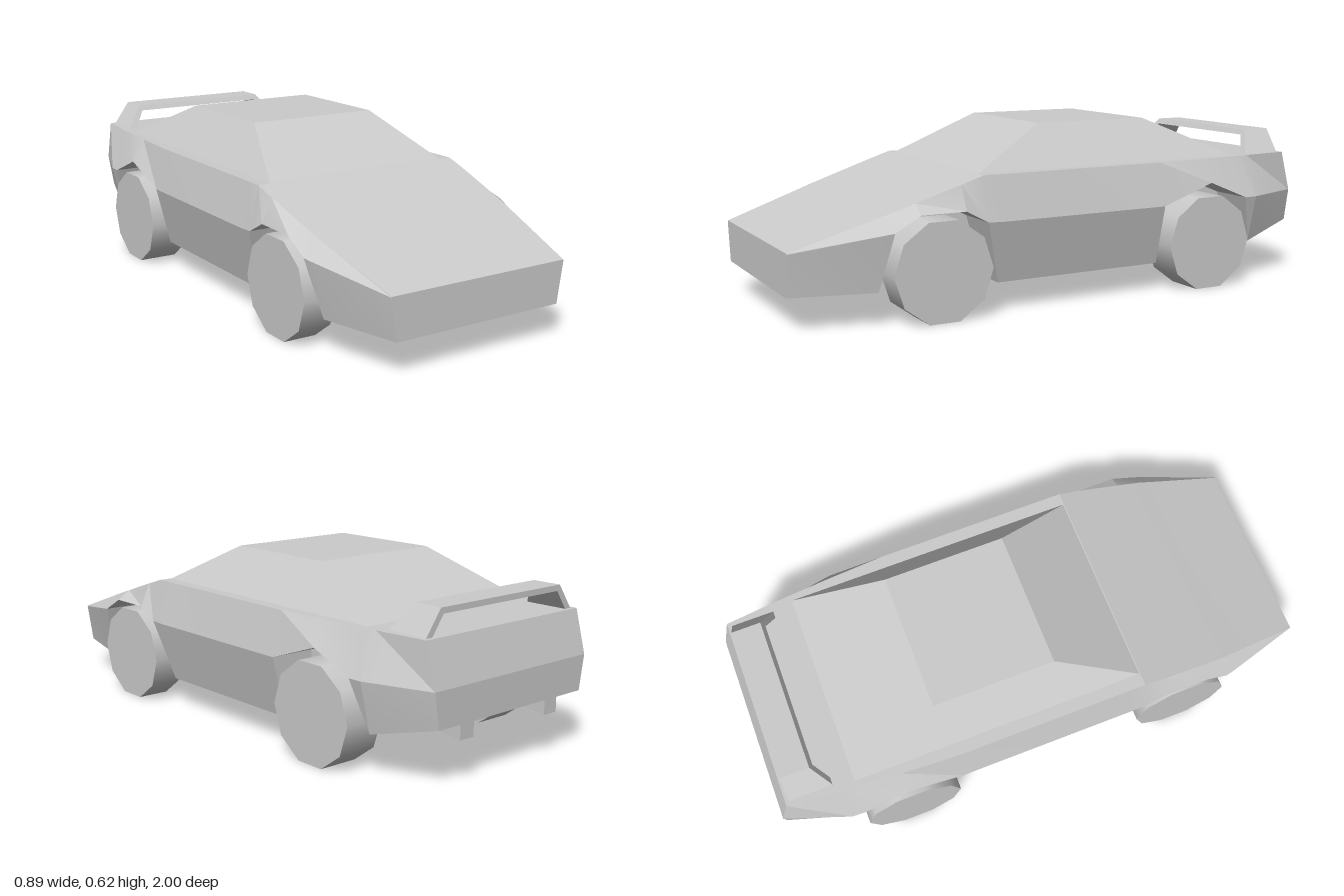
import * as THREE from 'three';
import { toCreasedNormals } from 'three/addons/utils/BufferGeometryUtils.js';

const material = new THREE.MeshStandardMaterial({ color: 0xcccccc });

function add(parent, name, geometry) {
  const mesh = new THREE.Mesh(geometry, material);
  mesh.name = name;
  parent.add(mesh);
  return mesh;
}

const faceted = (geometry) => {
  const flat = geometry.index ? geometry.toNonIndexed() : geometry;
  flat.computeVertexNormals();
  return flat;
};

// Body: cross-sections from nose to tail; the lower edge rises over the wheels
const POCKET_X = 0.27;
const sections = [
  // z, top y, top x, belt y, belt x, lower y, lower x, floor y, top z offset
  [1.0, 0.26, 0.34, 0.257, 0.341, 0.115, 0.32, 0.115, 0],
  [0.72, 0.35, 0.378, 0.304, 0.428, 0.115, 0.39, 0.115, 0],
  [0.68, 0.363, 0.384, 0.31, 0.438, 0.31, 0.438, 0.114, 0],
  [0.59, 0.392, 0.39, 0.36, 0.438, 0.36, 0.438, 0.111, 0],
  [0.43, 0.443, 0.4, 0.36, 0.438, 0.36, 0.438, 0.105, 0],
  [0.35, 0.468, 0.402, 0.317, 0.438, 0.317, 0.438, 0.102, 0],
  [0.29, 0.468, 0.402, 0.315, 0.438, 0.1, 0.385, 0.1, 0],
  [-0.355, 0.468, 0.402, 0.315, 0.438, 0.1, 0.385, 0.1, 0],
  [-0.355, 0.468, 0.402, 0.315, 0.438, 0.315, 0.438, 0.1, 0],
  [-0.56, 0.468, 0.39, 0.385, 0.438, 0.385, 0.438, 0.122, 0],
  [-0.72, 0.468, 0.378, 0.32, 0.438, 0.32, 0.438, 0.14, 0],
  [-0.77, 0.468, 0.374, 0.32, 0.436, 0.145, 0.395, 0.145, 0],
  [-1.0, 0.468, 0.355, 0.32, 0.355, 0.2, 0.335, 0.2, 0.04],
];

function bodyGeometry() {
  const rings = sections.map(([z, yt, xt, yb, xb, yl, xl, yf, dz]) => {
    const half = [[xt, yt, z + dz], [xb, yb, z], [xl, yl, z], [POCKET_X, yl, z], [POCKET_X, yf, z]]
      .map((p) => new THREE.Vector3(...p));
    const mirrored = half.map((p) => new THREE.Vector3(-p.x, p.y, p.z)).reverse();
    return [...half, ...mirrored];
  });
  const points = [];
  const tri = (a, b, c) => {
    if (new THREE.Triangle(a, b, c).getArea() > 1e-7) points.push(a, b, c);
  };
  const quad = (a, b, c, d) => { tri(a, b, c); tri(a, c, d); };

  for (let s = 0; s < rings.length - 1; s++) {
    const r = rings[s], q = rings[s + 1];
    for (let i = 0; i < 10; i++) {
      const j = (i + 1) % 10;
      quad(r[i], r[j], q[j], q[i]);
    }
  }
  // Nose and tail panels
  const nose = rings[0], tail = rings[rings.length - 1];
  for (let i = 0; i < 4; i++) {
    quad(nose[i], nose[9 - i], nose[8 - i], nose[i + 1]);
    quad(tail[i], tail[i + 1], tail[8 - i], tail[9 - i]);
  }
  return toCreasedNormals(new THREE.BufferGeometry().setFromPoints(points), 0.25);
}

// Cabin: a box whose top is drawn in to the roof outline
function cabinGeometry() {
  const geometry = new THREE.BoxGeometry(1, 1, 1);
  const pos = geometry.attributes.position;
  for (let i = 0; i < pos.count; i++) {
    const roof = pos.getY(i) > 0, front = pos.getZ(i) > 0;
    const x = roof ? 0.248 : 0.358;
    const z = roof ? (front ? 0.06 : -0.38) : (front ? 0.35 : -0.72);
    pos.setXYZ(i, Math.sign(pos.getX(i)) * x, roof ? 0.615 : 0.466, z);
  }
  return faceted(geometry);
}

// Spoiler: a thin trapezoid hoop with a raked front
function spoilerGeometry() {
  const base = 0.462, top = 0.553;
  const outline = [
    [-0.345, base], [-0.318, base], [-0.268, top - 0.02], [0.268, top - 0.02],
    [0.318, base], [0.345, base], [0.28, top], [-0.28, top],
  ].map((p) => new THREE.Vector2(...p));
  const geometry = new THREE.ExtrudeGeometry(new THREE.Shape(outline), { depth: 1, bevelEnabled: false });
  const pos = geometry.attributes.position;
  for (let i = 0; i < pos.count; i++) {
    const rake = (pos.getY(i) - base) / (top - base);
    pos.setZ(i, pos.getZ(i) > 0.5 ? -0.787 - 0.053 * rake : -0.945);
  }
  return faceted(geometry);
}

// Exhaust: a wedge emerging from the sloping floor
function exhaustGeometry() {
  const side = new THREE.Shape([
    new THREE.Vector2(0.84, 0.163), new THREE.Vector2(0.99, 0.145), new THREE.Vector2(0.99, 0.198),
  ]);
  const width = 0.06;
  const geometry = new THREE.ExtrudeGeometry(side, { depth: width, bevelEnabled: false });
  return geometry.translate(0, 0, -width / 2).rotateY(Math.PI / 2);
}

export function createModel() {
  const model = new THREE.Group();
  model.name = 'wedgeSportsCar';
  add(model, 'body', bodyGeometry());
  add(model, 'cabin', cabinGeometry());
  add(model, 'spoiler', spoilerGeometry());

  // Ten-sided wheels standing on a flat side
  const apothem = 0.1675;
  const radius = apothem / Math.cos(Math.PI / 10);
  const axles = [
    { name: 'front', z: 0.51, inner: 0.32, outer: 0.439 },
    { name: 'rear', z: -0.55, inner: 0.302, outer: 0.447 },
  ];
  for (const [label, side] of [['Left', 1], ['Right', -1]]) {
    for (const { name, z, inner, outer } of axles) {
      const geometry = new THREE.CylinderGeometry(radius, radius, outer - inner, 10).rotateZ(Math.PI / 2);
      add(model, `${name}${label}Wheel`, geometry)
        .position.set(side * (inner + outer) / 2, apothem, z);
    }
    add(model, `exhaust${label}`, exhaustGeometry()).position.x = side * 0.2;
  }
  return model;
}
